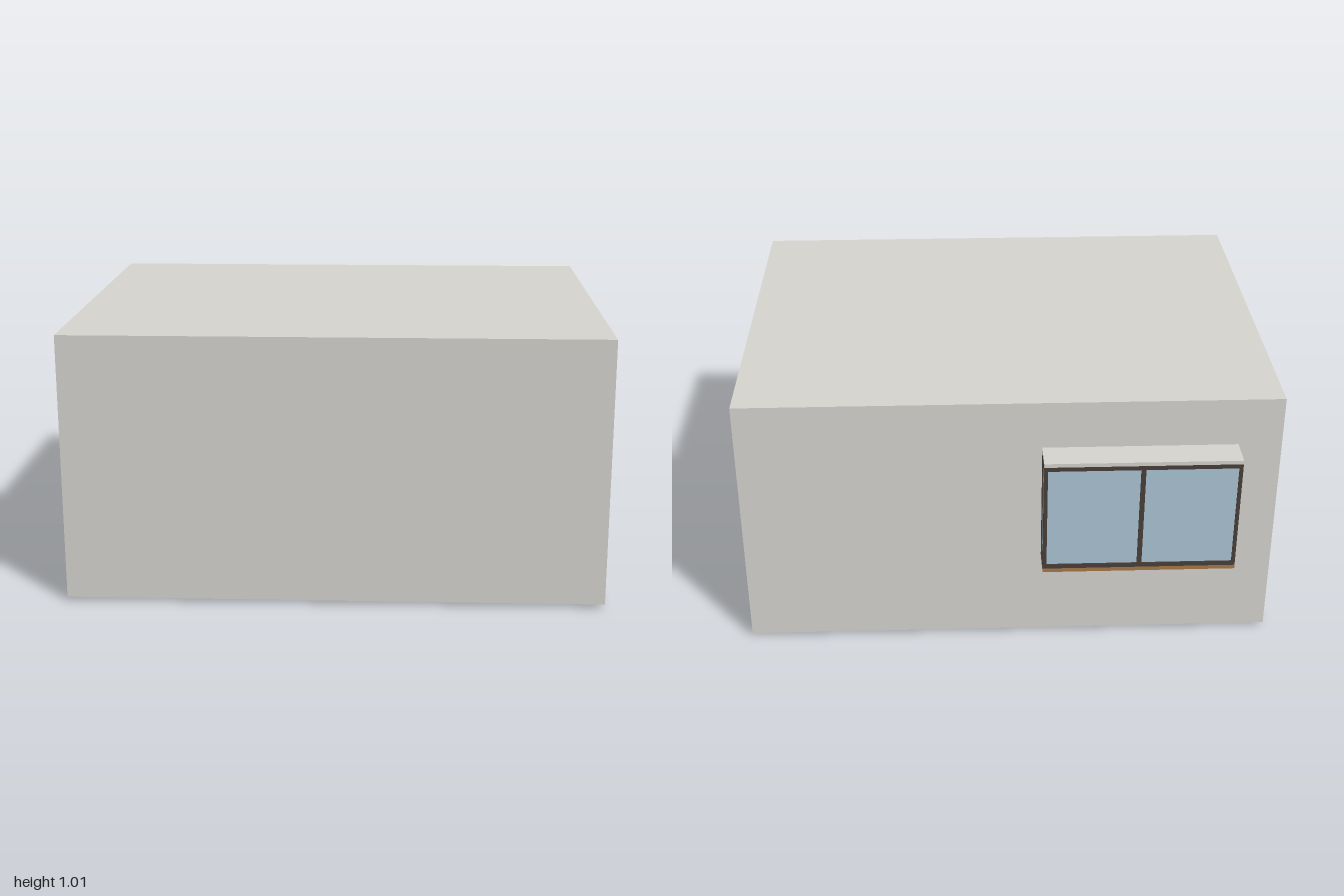
import * as THREE from 'three';

const mat = (name, color) => {
  const m = new THREE.MeshStandardMaterial({ color });
  m.name = name;
  return m;
};

export function createModel() {
  const plaster = mat('plaster', 0xd6d4cf);
  const wood = mat('wood', 0xa6784a);
  const frameDark = mat('darkFrame', 0x483f39);
  const glass = mat('glass', 0xacc6d4);

  const house = new THREE.Group();
  house.name = 'house';

  const group = (name) => {
    const g = new THREE.Group();
    g.name = name;
    house.add(g);
    return g;
  };

  // Box given by its two opposite corners
  const box = (parent, name, material, [x0, x1], [y0, y1], [z0, z1]) => {
    const mesh = new THREE.Mesh(new THREE.BoxGeometry(x1 - x0, y1 - y0, z1 - z0), material);
    mesh.position.set((x0 + x1) / 2, (y0 + y1) / 2, (z0 + z1) / 2);
    mesh.name = name;
    parent.add(mesh);
    return mesh;
  };

  const BASE = 0.015, TOP = 1.015, T = 0.06;
  const BACK = -0.72, FRONT = 0.835;

  // Side wall along z, with openings [z0, z1, height] cut up from its foot
  const sideWall = (name, xOuterMax, openings) => {
    const s = new THREE.Shape();
    s.moveTo(BACK, BASE);
    for (const [z0, z1, h] of openings) {
      s.lineTo(z0, BASE);
      s.lineTo(z0, h);
      s.lineTo(z1, h);
      s.lineTo(z1, BASE);
    }
    s.lineTo(FRONT, BASE);
    s.lineTo(FRONT, TOP);
    s.lineTo(BACK, TOP);
    const geo = new THREE.ExtrudeGeometry(s, { depth: T, bevelEnabled: false });
    geo.rotateY(-Math.PI / 2).translate(xOuterMax, 0, 0);
    const mesh = new THREE.Mesh(geo, plaster);
    mesh.name = name;
    house.add(mesh);
  };

  // Shell
  const win = [-0.218, 0.502, 0.735];
  const doors = [[-0.61, 0.09, 0.8], [0.235, 0.5, 0.8]];
  sideWall('leftWall', 1, [win]);
  sideWall('rightWall', -1 + T, doors);
  box(house, 'frontWall', plaster, [-1 + T, 1 - T], [BASE, TOP], [FRONT - T, FRONT]);
  box(house, 'roof', plaster, [-1 + T, 1 - T], [TOP - T, TOP], [BACK + T, FRONT - T]);
  box(house, 'floor', wood, [-1 + T, 1 - T], [0, BASE + 0.003], [BACK + T, FRONT - T]);

  // Back wall with the opening behind the bay
  const back = new THREE.Shape();
  back.moveTo(-1 + T, BASE).lineTo(1 - T, BASE).lineTo(1 - T, TOP).lineTo(-1 + T, TOP);
  const hole = new THREE.Path();
  hole.moveTo(-0.82, 0.39).lineTo(-0.82, 0.8).lineTo(-0.14, 0.8).lineTo(-0.14, 0.39);
  back.holes.push(hole);
  const backWall = new THREE.Mesh(
    new THREE.ExtrudeGeometry(back, { depth: T, bevelEnabled: false }), plaster);
  backWall.position.z = BACK;
  backWall.name = 'backWall';
  house.add(backWall);

  // Large window: casing through the wall, recessed sash, glass over solid panels
  const bigWindow = group('largeWindow');
  const ring = (name, [x0, x1], [y0, y1], [z0, z1], w) => {
    box(bigWindow, name + 'Bottom', frameDark, [x0, x1], [y0, y0 + w], [z0, z1]);
    box(bigWindow, name + 'Top', frameDark, [x0, x1], [y1 - w, y1], [z0, z1]);
    for (const z of [z0, z1 - w])
      box(bigWindow, name + 'Side', frameDark, [x0, x1], [y0 + w, y1 - w], [z, z + w]);
  };
  const [w0, w1, wTop] = win;
  ring('casing', [0.94, 1.001], [BASE, wTop], [w0, w1], 0.016);
  ring('sash', [0.94, 0.958], [BASE + 0.016, wTop - 0.016], [w0 + 0.016, w1 - 0.016], 0.014);
  const wMid = 0.137;
  box(bigWindow, 'mullion', frameDark, [0.94, 0.957], [0.04, 0.71], [wMid - 0.008, wMid + 0.008]);
  box(bigWindow, 'transom', frameDark, [0.94, 0.956], [0.385, 0.4], [w0 + 0.02, w1 - 0.02]);
  for (const [z0, z1] of [[w0 + 0.03, wMid - 0.008], [wMid + 0.008, w1 - 0.03]]) {
    box(bigWindow, 'pane', glass, [0.943, 0.95], [0.4, 0.705], [z0, z1]);
    box(bigWindow, 'lowerPanel', plaster, [0.943, 0.95], [0.045, 0.385], [z0, z1]);
  }

  // Doors: thin lining in the opening, leaves set back
  const doorway = (name, [z0, z1, h], splits) => {
    const g = group(name);
    const L = 0.012, X = [-1.001, -0.94];
    box(g, 'head', wood, X, [h - L, h], [z0, z1]);
    box(g, 'jamb', wood, X, [BASE, h - L], [z0, z0 + L]);
    box(g, 'jamb', wood, X, [BASE, h - L], [z1 - L, z1]);
    const edges = [z0 + L, ...splits, z1 - L];
    for (let i = 0; i + 1 < edges.length; i++)
      box(g, 'leaf', wood, [-0.956, -0.94], [BASE, h - L], [edges[i] + 0.001, edges[i + 1] - 0.001]);
  };
  doorway('doubleDoor', doors[0], [-0.09]);
  doorway('singleDoor', doors[1], []);

  // Bay window on the back
  const bay = group('bayWindow');
  const bx0 = -0.84, bx1 = -0.12, bz = -0.838, P = 0.014;
  box(bay, 'bayRoof', plaster, [bx0, bx1], [0.815, 0.83], [bz, BACK]);
  box(bay, 'baySill', wood, [bx0, bx1], [0.36, 0.376], [bz, BACK]);
  for (const [y0, y1] of [[0.376, 0.394], [0.798, 0.815]]) {
    box(bay, 'frontRail', frameDark, [bx0, bx1], [y0, y1], [bz, bz + P]);
    for (const x of [bx0, bx1 - P])
      box(bay, 'sideRail', frameDark, [x, x + P], [y0, y1], [bz + P, BACK]);
  }
  for (const x of [bx0, bx1 - P]) {
    for (const z of [bz, BACK - P])
      box(bay, 'post', frameDark, [x, x + P], [0.394, 0.798], [z, z + P]);
    box(bay, 'sidePane', glass, [x + 0.004, x + 0.01], [0.394, 0.798], [bz + P, BACK - P]);
  }
  const bMid = (bx0 + bx1) / 2;
  box(bay, 'bayMullion', frameDark, [bMid - 0.009, bMid + 0.009], [0.394, 0.798], [bz, bz + P]);
  for (const [x0, x1] of [[bx0 + P, bMid - 0.009], [bMid + 0.009, bx1 - P]])
    box(bay, 'frontPane', glass, [x0, x1], [0.394, 0.798], [bz + 0.004, bz + 0.01]);

  return house;
}
